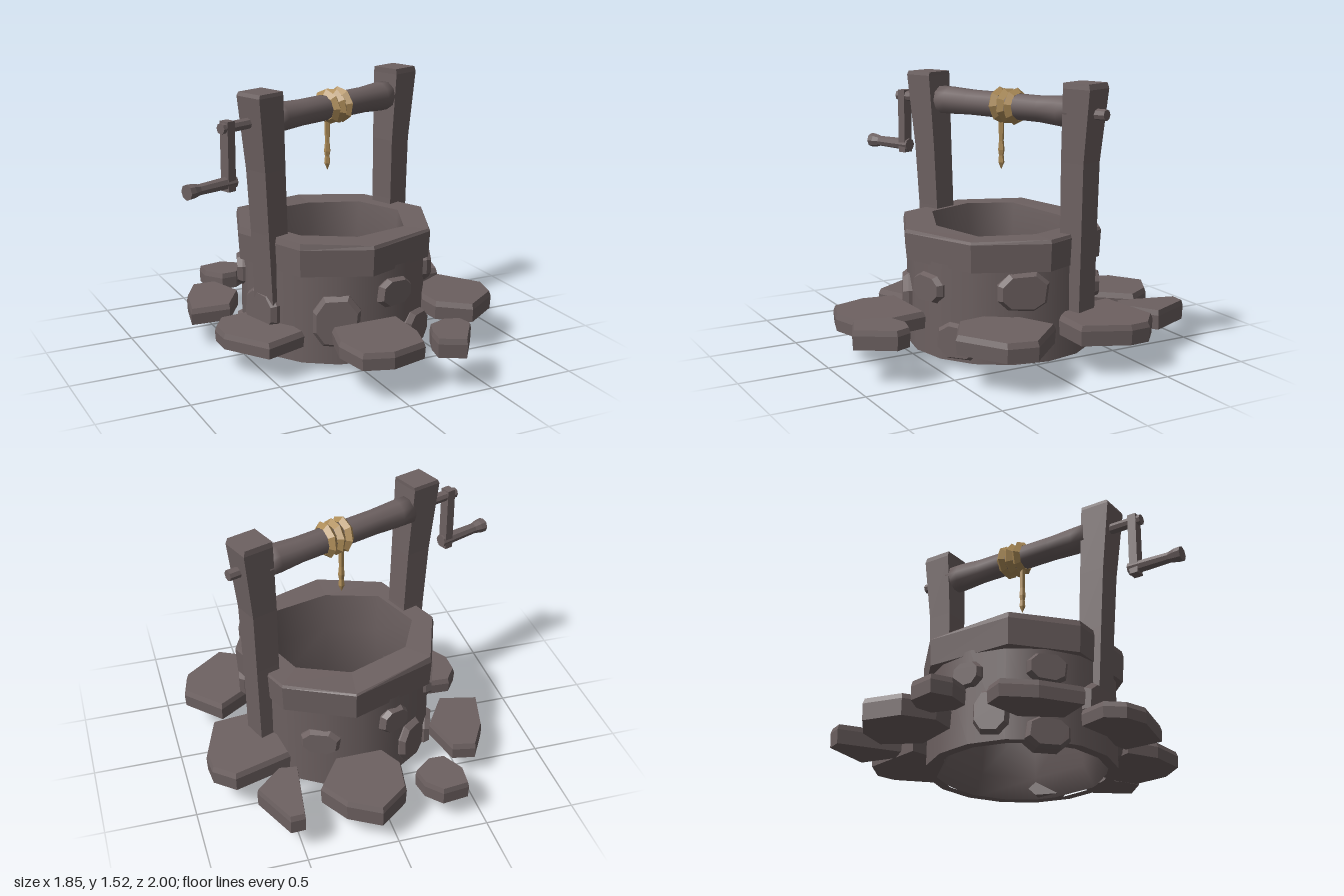
import * as THREE from 'three';
import { mergeVertices } from 'three/addons/utils/BufferGeometryUtils.js';

const stone = new THREE.MeshStandardMaterial({ color: 0x6d6161 });
stone.name = 'weathered grey brown';
const straw = new THREE.MeshStandardMaterial({ color: 0xad8c58 });
straw.name = 'rope tan';

const CX = 0.07, CZ = -0.02; // centre of the well

function mesh(parent, name, geometry, material = stone) {
  const m = new THREE.Mesh(geometry, material);
  m.name = name;
  parent.add(m);
  return m;
}

function flat(geometry) {
  const g = geometry.index ? geometry.toNonIndexed() : geometry;
  g.computeVertexNormals();
  return g;
}

function smooth(geometry) {
  geometry.deleteAttribute('normal');
  geometry.deleteAttribute('uv');
  const g = mergeVertices(geometry, 1e-4);
  g.computeVertexNormals();
  return g;
}

// Faceted skin over rings of [x, y, z]; rings run counter-clockwise from above
function loft(rings, capped = true) {
  const n = rings[0].length, pos = [];
  const tri = (a, b, c) => pos.push(...a, ...b, ...c);
  for (let k = 0; k < rings.length - 1; k++) {
    const lo = rings[k], hi = rings[k + 1];
    for (let i = 0; i < n; i++) {
      const j = (i + 1) % n;
      tri(lo[i], lo[j], hi[j]);
      tri(lo[i], hi[j], hi[i]);
    }
  }
  if (capped) {
    const bottom = rings[0], top = rings[rings.length - 1];
    for (let i = 1; i < n - 1; i++) {
      tri(top[0], top[i], top[i + 1]);
      tri(bottom[0], bottom[i + 1], bottom[i]);
    }
  }
  const g = new THREE.BufferGeometry();
  g.setAttribute('position', new THREE.Float32BufferAttribute(pos, 3));
  return flat(g);
}

// Slab from a clockwise [x, z] outline, narrower at the top, falling away from the origin
function slab(outline, y0, y1, topScale) {
  const pts = [...outline].reverse();
  const mx = pts.reduce((s, p) => s + p[0], 0) / pts.length;
  const mz = pts.reduce((s, p) => s + p[1], 0) / pts.length;
  const ring = (y, s) => pts.map(([x, z]) => {
    const dx = (x - mx) * s, dz = (z - mz) * s;
    return [mx + dx, y - 0.08 * dx * mx - 0.05 * dz * mz, mz + dz];
  });
  return loft([ring(y0, 0.98), ring(y1 - 0.03, 1), ring(y1, topScale)]);
}

// Turned bar along local x, from [position, radius] pairs
function bar(profile, sides = 8) {
  const pts = [[profile[0][0], 0], ...profile, [profile[profile.length - 1][0], 0]];
  const g = new THREE.LatheGeometry(pts.map(([u, r]) => new THREE.Vector2(r, u)), sides);
  return flat(g.rotateZ(-Math.PI / 2));
}

// Leaning square post from [y, centre, half width] rows
function post(rows) {
  return loft(rows.map(([y, u, h]) =>
    [[u - h, y, h], [u + h, y, h], [u + h, y, -h], [u - h, y, -h]]));
}

export function createModel() {
  const model = new THREE.Group();
  model.name = 'well';

  // Round shaft wall, open through the middle
  const wall = new THREE.LatheGeometry([[0.525, 0.045], [0.525, 0.57]].map(p => new THREE.Vector2(...p)), 16);
  mesh(model, 'shaftWall', wall).position.set(CX, 0, CZ);
  const base = new THREE.RingGeometry(0.47, 0.525, 16).rotateX(Math.PI / 2);
  mesh(model, 'shaftBase', base).position.set(CX, 0.045, CZ);

  // Uneven octagonal rim, and the lining that narrows below it and flares at the foot
  const outer = [[0.03, 0.55], [0.47, 0.385], [0.645, 0], [0.48, -0.42],
    [0.12, -0.6], [-0.36, -0.42], [-0.5, -0.05], [-0.33, 0.39]];
  const inner = [[0.03, 0.36], [0.36, 0.28], [0.48, 0], [0.37, -0.28],
    [0.09, -0.4], [-0.25, -0.29], [-0.37, -0.05], [-0.26, 0.24]];
  const tops = [0.72, 0.715, 0.72, 0.715, 0.71, 0.735, 0.735, 0.735];
  const ring = (pts, y, s) => pts.map(([x, z], i) =>
    [CX + (x - CX) * s, y ?? tops[i], CZ + (z - CZ) * s]);
  mesh(model, 'rim', loft([
    ring(outer, 0.55, 0.85), ring(outer, 0.55, 0.985), ring(outer, 0.7, 1),
    ring(outer, null, 0.985), ring(inner, null, 1),
  ], false));
  mesh(model, 'shaftLining', smooth(loft([
    ring(inner, null, 1), ring(inner, 0.5, 0.95), ring(inner, 0.16, 1.04), ring(inner, 0.045, 1.23),
  ], false)));

  // Stones set into the wall: [degrees round from the front, y, width, height]
  const blob = [[-0.5, -0.2], [-0.28, -0.48], [0.25, -0.5], [0.5, -0.22],
    [0.45, 0.3], [0.2, 0.5], [-0.3, 0.45], [-0.5, 0.2]];
  [[-24, 0.29, 0.26, 0.3], [13, 0.425, 0.23, 0.16], [74, 0.44, 0.28, 0.21],
    [35, 0.16, 0.26, 0.2], [155, 0.35, 0.22, 0.15], [201, 0.43, 0.18, 0.15],
    [249, 0.44, 0.22, 0.17], [285, 0.3, 0.26, 0.24], [217, 0.2, 0.2, 0.25],
    [249, 0.085, 0.24, 0.17],
  ].forEach(([deg, y, w, h], i) => {
    const flip = i % 2 ? -1 : 1;
    const outline = blob.map(([x, z]) => [x * w * flip, z * h * flip]);
    const g = slab(outline, 0.44, 0.55, 0.85).rotateX(Math.PI / 2);
    const s = mesh(model, 'wallStone', g);
    s.position.set(CX, y, CZ);
    s.rotation.y = THREE.MathUtils.degToRad(deg);
  });

  // Paving slabs round the foot: outline, bottom and top
  [
    [[[-0.42, -0.91], [-0.27, -0.93], [-0.19, -0.85], [-0.17, -0.75], [-0.27, -0.67], [-0.36, -0.67], [-0.43, -0.79]], 0.14, 0.24],
    [[[-0.08, -0.87], [0.09, -1], [0.26, -0.9], [0.36, -0.74], [0.23, -0.55], [-0.04, -0.55], [-0.11, -0.68]], 0.14, 0.26],
    [[[0.49, -0.93], [0.57, -0.93], [0.69, -0.67], [0.54, -0.54], [0.44, -0.56]], 0.15, 0.26],
    [[[0.46, -0.48], [0.78, -0.56], [0.89, -0.46], [0.9, -0.34], [0.81, -0.08], [0.61, -0.07], [0.5, -0.2]], 0.18, 0.29],
    [[[0.74, 0.03], [0.92, 0.24], [0.88, 0.4], [0.65, 0.57], [0.47, 0.46], [0.46, 0.3], [0.56, 0.14]], 0.195, 0.3],
    [[[-0.2, 0.51], [0.19, 0.51], [0.2, 0.74], [0.16, 0.88], [-0.05, 0.93], [-0.21, 0.88], [-0.25, 0.69]], 0.19, 0.285],
    [[[0.26, 0.75], [0.37, 0.71], [0.46, 0.73], [0.48, 0.81], [0.34, 1], [0.2, 0.94], [0.22, 0.84]], 0.205, 0.31],
    [[[-0.63, -0.02], [-0.45, -0.02], [-0.34, 0.18], [-0.31, 0.4], [-0.54, 0.46], [-0.7, 0.21], [-0.7, 0.08]], 0.15, 0.24],
    [[[-0.57, -0.62], [-0.44, -0.6], [-0.38, -0.37], [-0.51, -0.17], [-0.73, -0.21], [-0.67, -0.45]], 0.14, 0.235],
  ].forEach(([outline, y0, y1]) => mesh(model, 'pavingSlab', slab(outline, y0, y1, 0.95)));

  // Winch frame, turned across the well
  const winch = new THREE.Group();
  winch.name = 'winch';
  winch.position.set(CX, 0, -0.05);
  winch.rotation.y = 0.355;
  model.add(winch);

  mesh(winch, 'crankPost', post([[0.2, -0.472, 0.075], [0.75, -0.505, 0.07], [1.1, -0.525, 0.074], [1.5, -0.56, 0.086], [1.52, -0.555, 0.082]])).position.z = 0.02;
  mesh(winch, 'plainPost', post([[0.2, 0.5, 0.07], [0.75, 0.51, 0.07], [1.1, 0.515, 0.073], [1.49, 0.545, 0.086], [1.52, 0.54, 0.082]]));

  const axleY = 1.36;
  const drum = bar([[-0.48, 0.08], [-0.4, 0.079], [-0.24, 0.072], [0.26, 0.073], [0.4, 0.083], [0.48, 0.083]], 10);
  mesh(winch, 'drum', smooth(drum)).position.y = axleY;
  mesh(winch, 'axle', bar([[-0.82, 0.03], [0.68, 0.03]])).position.y = axleY;
  mesh(winch, 'crankArm', new THREE.BoxGeometry(0.05, 0.37, 0.06)).position.set(-0.773, 1.21, 0);
  mesh(winch, 'crankHandle', bar([[-1.055, 0.042], [-1.02, 0.04], [-0.98, 0.03], [-0.8, 0.034], [-0.735, 0.036]])).position.y = 1.07;

  // Rope turns and loose end
  [-0.03, 0.022, 0.075].forEach((u, i) => {
    const turn = mesh(winch, 'ropeTurn', flat(new THREE.TorusGeometry(0.075, 0.027, 4, 8).rotateY(Math.PI / 2)), straw);
    turn.position.set(u, axleY, 0);
    turn.rotation.z = 0.1 - i * 0.03;
    turn.rotation.x = i * 0.3;
  });
  const tail = [[0, 1.0], [0.018, 1.04], [0.014, 1.08], [0.019, 1.11], [0.014, 1.16], [0.018, 1.3]];
  mesh(winch, 'ropeEnd', flat(new THREE.LatheGeometry(tail.map(p => new THREE.Vector2(...p)), 5)), straw)
    .position.set(-0.028, 0, 0);

  return model;
}
